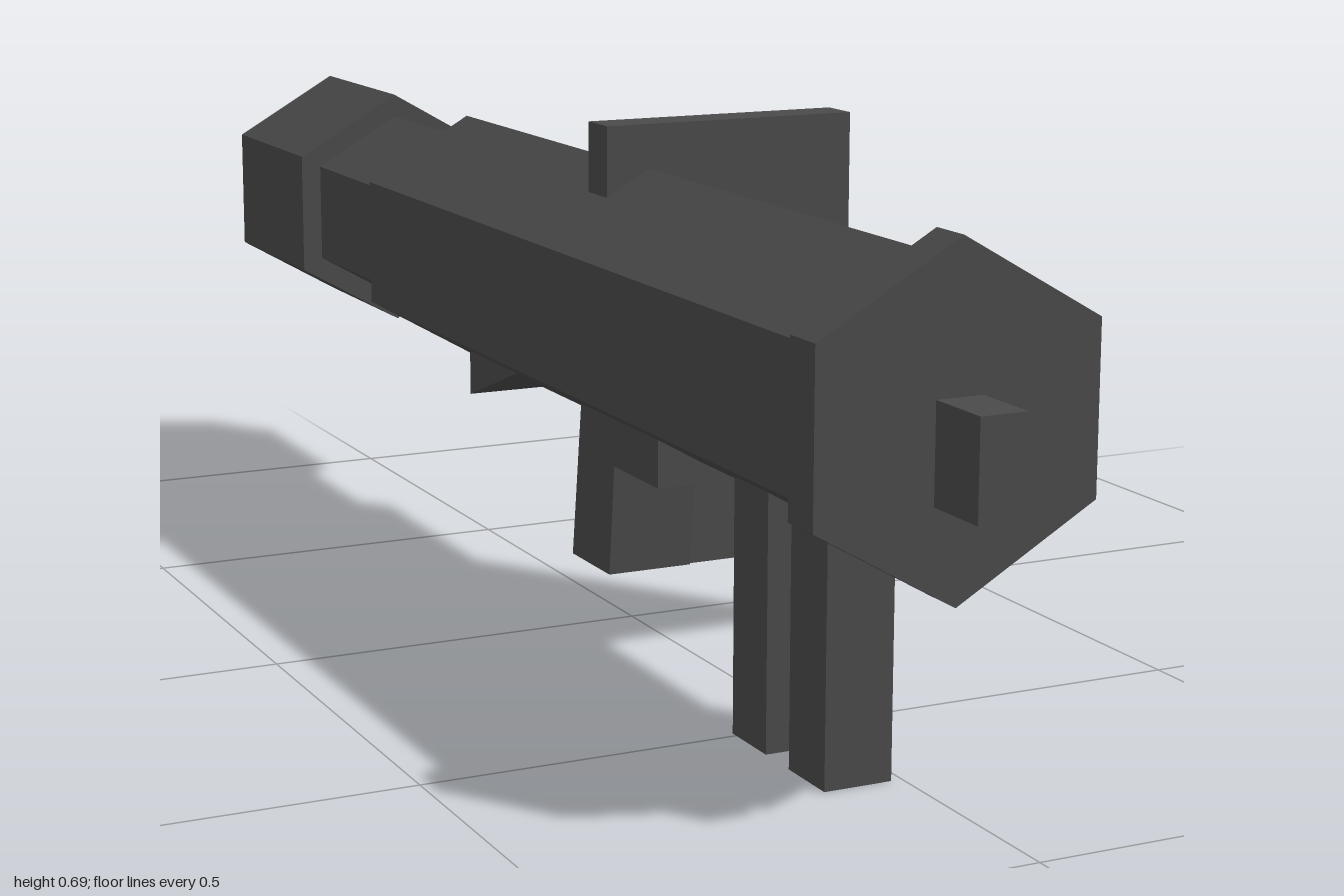
import * as THREE from 'three';

const AXIS_X = -0.057, AXIS_Y = 0.459;
const material = new THREE.MeshStandardMaterial({ color: 0x4a4a4a, flatShading: true });

export function createModel() {
  const model = new THREE.Group();

  const add = (name, geometry, x = 0, y = 0, z = 0) => {
    const mesh = new THREE.Mesh(geometry, material);
    mesh.name = name;
    mesh.position.set(x, y, z);
    model.add(mesh);
  };

  // Six-sided section along z, with a corner pointing up
  const hexTube = (name, radius, z0, z1) => {
    const geometry = new THREE.CylinderGeometry(radius, radius, z1 - z0, 6);
    geometry.rotateX(Math.PI / 2);
    add(name, geometry, AXIS_X, AXIS_Y, (z0 + z1) / 2);
  };

  // Box given by its limits
  const block = (name, x0, x1, y0, y1, z0, z1) =>
    add(name, new THREE.BoxGeometry(x1 - x0, y1 - y0, z1 - z0),
      (x0 + x1) / 2, (y0 + y1) / 2, (z0 + z1) / 2);

  // Side profile of [z, y] points, extruded across x around the tube axis
  const sideProfile = (name, points, width) => {
    const shape = new THREE.Shape(points.map(([z, y]) => new THREE.Vector2(-z, y)));
    const geometry = new THREE.ExtrudeGeometry(shape, { depth: width, bevelEnabled: false });
    geometry.translate(0, 0, -width / 2);
    geometry.rotateY(Math.PI / 2);
    add(name, geometry, AXIS_X);
  };

  // Launch tube
  hexTube('muzzleFlange', 0.198, 0.86, 0.914);
  hexTube('mainTube', 0.171, -0.427, 0.86);
  hexTube('tubeNeck', 0.138, -0.715, -0.427);
  hexTube('rearTube', 0.171, -1, -0.715);
  block('muzzleNub', -0.086, -0.029, 0.373, 0.487, 0.91, 1);

  // Shield plate, offset to the left
  block('shieldPlate', -0.114, 0.228, 0.116, 0.686, 0.115, 0.17);

  // Two front legs
  for (const z of [0.673, 0.533]) block('frontLeg', -0.1, -0.014, 0, 0.315, z - 0.042, z + 0.042);

  // Grip, trigger housing and rear wedge under the tube
  block('triggerHousing', -0.114, 0, 0.26, 0.33, 0.14, 0.316);
  sideProfile('grip', [[0.197, 0.33], [0.175, 0.116], [0.062, 0.116], [0.091, 0.33]], 0.114);
  sideProfile('rearWedge', [[-0.115, 0.322], [-0.284, 0.26], [-0.284, 0.322]], 0.114);

  return model;
}
